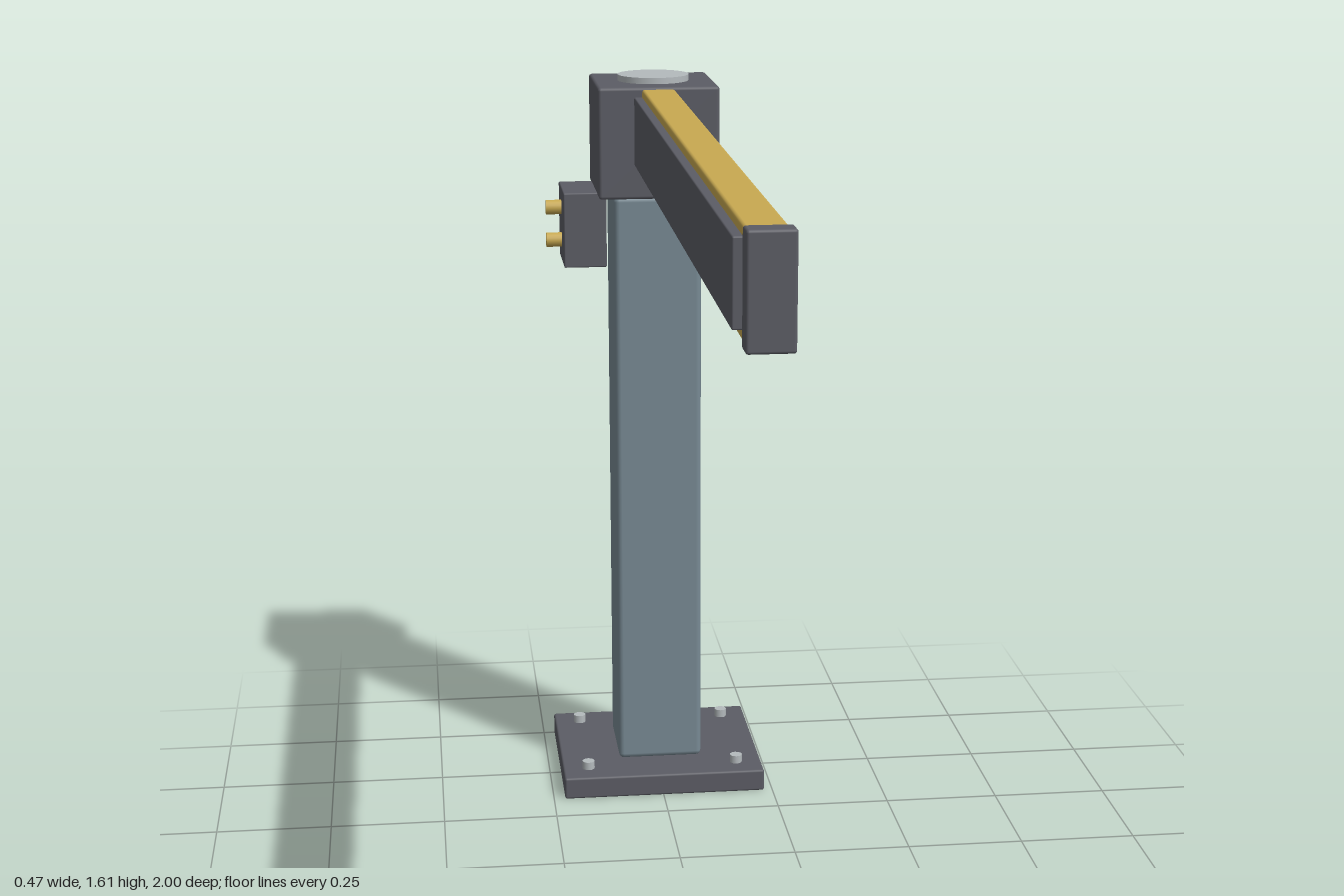
import * as THREE from 'three';
import { RoundedBoxGeometry } from 'three/addons/geometries/RoundedBoxGeometry.js';

const material = (name, color) => {
  const m = new THREE.MeshStandardMaterial({ color });
  m.name = name;
  return m;
};

export function createModel() {
  const group = new THREE.Group();
  const charcoal = material('charcoal', 0x5c5d65);
  const blueGrey = material('blue grey', 0x788a94);
  const yellow = material('yellow', 0xc8a951);
  const steel = material('steel', 0xb4babd);
  const px = 0.003, pz = -0.795; // post axis

  const add = (name, geometry, mat, x, y, z) => {
    const mesh = new THREE.Mesh(geometry, mat);
    mesh.name = name;
    mesh.position.set(x, y, z);
    group.add(mesh);
    return mesh;
  };
  // Softened box given by its limits on each axis
  const box = (name, mat, [x0, x1], [y0, y1], [z0, z1], r) =>
    add(name, new RoundedBoxGeometry(x1 - x0, y1 - y0, z1 - z0, 2, r), mat,
      (x0 + x1) / 2, (y0 + y1) / 2, (z0 + z1) / 2);
  const around = (c, half) => [c - half, c + half];

  // Floor plate with four bolts
  box('basePlate', charcoal, around(px, 0.228), [0, 0.05], around(pz, 0.204), 0.005);
  for (const sx of [-1, 1]) {
    for (const sz of [-1, 1]) {
      add('bolt', new THREE.CylinderGeometry(0.014, 0.014, 0.022, 12), steel,
        px + sx * 0.17, 0.057, pz + sz * 0.145);
    }
  }

  // Post, head block and round lid
  box('post', blueGrey, around(px, 0.095), [0.048, 1.354], around(pz, 0.096), 0.012);
  box('head', charcoal, around(px, 0.13), [1.354, 1.592], around(pz, 0.13), 0.007);
  add('lid', new THREE.CylinderGeometry(0.077, 0.077, 0.02, 32), steel, px, 1.595, pz);

  // Horizontal arm with end cap and side strip
  box('arm', yellow, [-0.033, 0.038], [1.407, 1.587], [-0.7, 0.96], 0.006);
  box('armEndCap', charcoal, [-0.037, 0.042], [1.402, 1.592], [0.955, 1], 0.005);
  box('sideStrip', charcoal, [-0.05, -0.03], [1.426, 1.571], [-0.67, 0.935], 0.003);

  // Control box with two pins
  box('controlBox', charcoal, [-0.2, -0.107], [1.198, 1.361], around(-0.8, 0.081), 0.003);
  for (const y of [1.318, 1.246]) {
    const pin = add('pin', new THREE.CylinderGeometry(0.016, 0.016, 0.045, 16), yellow, -0.2115, y, -0.8);
    pin.rotation.z = Math.PI / 2;
  }

  return group;
}
